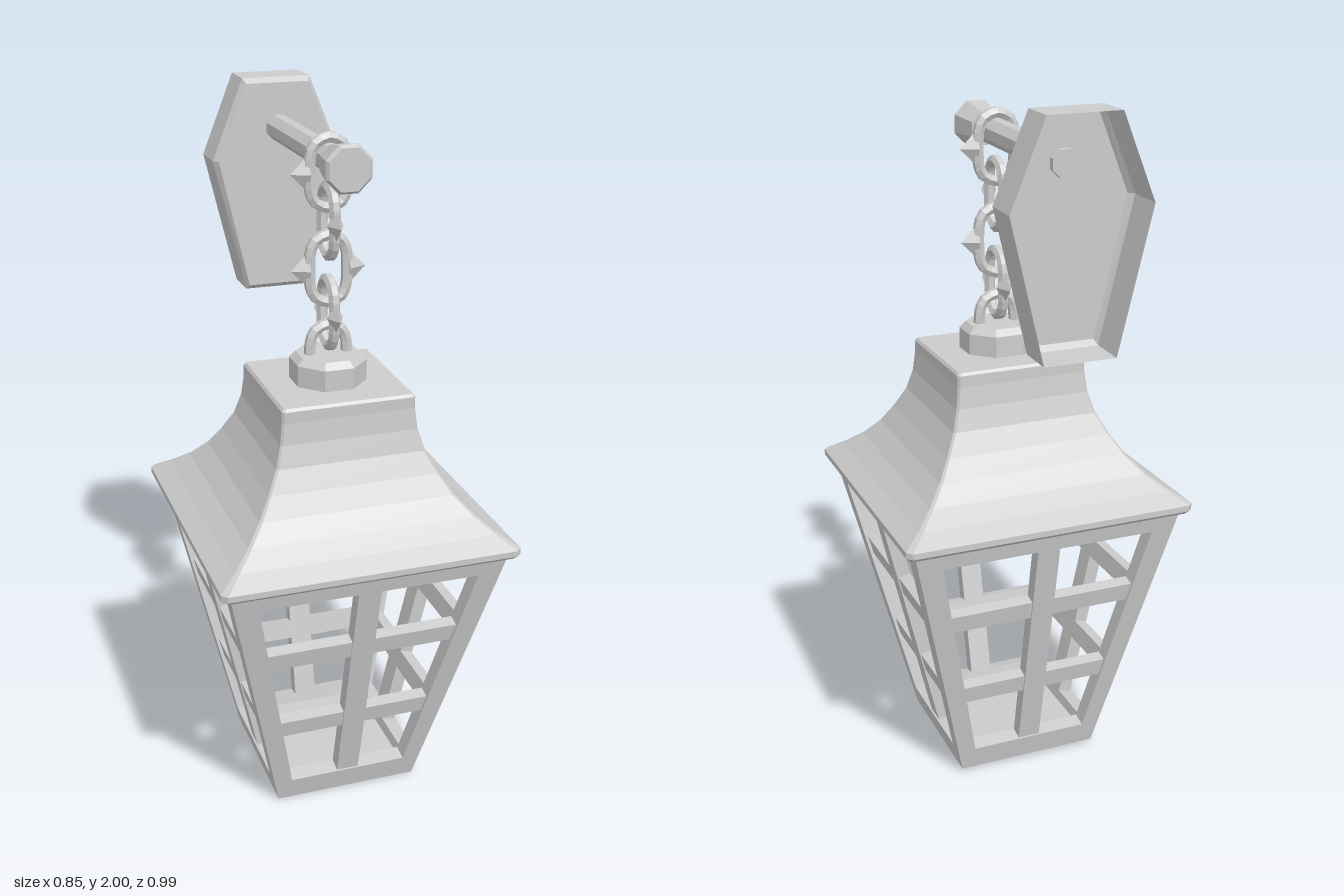
import * as THREE from 'three';

const grey = new THREE.MeshStandardMaterial({ color: 0xcccccc, flatShading: true });
const greyOpen = new THREE.MeshStandardMaterial({ color: 0xcccccc, flatShading: true, side: THREE.DoubleSide });

function add(parent, name, geometry, material = grey) {
  const mesh = new THREE.Mesh(geometry, material);
  mesh.name = name;
  parent.add(mesh);
  return mesh;
}

// Skin over equal-sized outlines (counter-clockwise [x, y]) stacked along z.
function loft(sections, capStart = true) {
  const n = sections[0].outline.length, pos = [], index = [];
  for (const { outline, z } of sections) for (const [x, y] of outline) pos.push(x, y, z);
  for (let s = 0; s < sections.length - 1; s++) {
    for (let i = 0; i < n; i++) {
      const a = s * n + i, b = s * n + (i + 1) % n;
      index.push(a, b, b + n, a, b + n, a + n);
    }
  }
  const last = (sections.length - 1) * n;
  for (let i = 1; i < n - 1; i++) {
    if (capStart) index.push(0, i + 1, i);
    index.push(last, last + i, last + i + 1);
  }
  const g = new THREE.BufferGeometry();
  g.setAttribute('position', new THREE.Float32BufferAttribute(pos, 3));
  g.setIndex(index);
  const flat = g.toNonIndexed();
  flat.computeVertexNormals();
  return flat;
}

// Square with slightly cut corners.
function square(h, c) {
  return [[h, c - h], [h, h - c], [h - c, h], [c - h, h], [-h, h - c], [-h, c - h], [c - h, -h], [h - c, -h]];
}

// Vertical stack of squares: rows of [y, half width, corner cut].
function squareStack(rows) {
  return loft(rows.map(([y, h, c]) => ({ z: y, outline: square(h, c) }))).rotateX(-Math.PI / 2);
}

// Wall plate: six-sided shell, open at the back, with a bevelled front.
function wallPlate(parent) {
  const outline = (b) => [[0.1 - b / 2, 1.38 + b], [0.193 - b, 1.77], [0.1 - b / 2, 2 - b],
    [-0.1 + b / 2, 2 - b], [-0.193 + b, 1.77], [-0.1 + b / 2, 1.38 + b]];
  add(parent, 'wallPlate', loft([
    { z: -0.488, outline: outline(0) },
    { z: -0.378, outline: outline(0) },
    { z: -0.362, outline: outline(0.014) },
  ], false), greyOpen);
}

// Arm with a flared end knob.
function arm(parent) {
  const rod = add(parent, 'arm', new THREE.CylinderGeometry(0.038, 0.038, 0.54, 8).rotateY(Math.PI / 8).rotateX(Math.PI / 2));
  rod.position.set(0, 1.86, -0.11);
  const profile = [[0, 0], [0.05, 0], [0.068, 0.095], [0.06, 0.105], [0, 0.105]].map(([r, y]) => new THREE.Vector2(r, y));
  const knob = add(parent, 'armKnob', new THREE.LatheGeometry(profile, 8).rotateY(Math.PI / 8).rotateX(Math.PI / 2));
  knob.position.set(0, 1.86, 0.152);
}

// Chain link lying in the xy plane, with an optional spike on each side.
function chainLink(spiked) {
  const link = new THREE.Group();
  link.name = 'chainLink';
  const points = [];
  for (const side of [1, -1]) {
    for (let i = 0; i <= 4; i++) {
      const a = i * Math.PI / 4;
      points.push(new THREE.Vector3(side * 0.052 * Math.cos(a), side * (0.042 + 0.052 * Math.sin(a)), 0));
    }
  }
  const curve = new THREE.CatmullRomCurve3(points, true, 'catmullrom', 0.4);
  add(link, 'linkRing', new THREE.TubeGeometry(curve, 24, 0.016, 6, true));
  for (const side of spiked ? [1, -1] : []) {
    const spike = add(link, 'linkSpike', new THREE.ConeGeometry(0.05, 0.05, 4).scale(1, 1, 0.45));
    spike.rotation.z = -side * Math.PI / 2;
    spike.position.x = side * 0.081;
  }
  return link;
}

// One latticed wall of the lantern, leaning outwards.
function sidePanel() {
  const panel = new THREE.Group();
  panel.name = 'sidePanel';
  const lean = Math.atan2(0.185, 0.82), k = 1 / Math.cos(lean), depth = 0.045;
  const low = 0.07 * k, high = 0.76 * k, top = 0.825 * k;
  const shape = new THREE.Shape([[-0.212, 0], [0.212, 0], [0.397, top], [-0.397, top]].map((p) => new THREE.Vector2(...p)));
  shape.holes.push(new THREE.Path([[-0.175, low], [-0.315, high], [0.315, high], [0.175, low]].map((p) => new THREE.Vector2(...p))));
  const frame = new THREE.ExtrudeGeometry(shape, { depth, bevelEnabled: false });
  add(panel, 'panelFrame', frame.translate(0, 0, -depth));
  const upright = add(panel, 'uprightBar', new THREE.BoxGeometry(0.066, high - low + 0.02, 0.04));
  upright.position.set(0, (low + high) / 2, -0.025);
  for (const y of [0.282, 0.552]) {
    const half = 0.175 + 0.14 * (y - 0.07) / 0.69;
    const bar = add(panel, 'crossBar', new THREE.BoxGeometry(2 * half + 0.02, 0.055, 0.036));
    bar.position.set(0, y * k, -0.027);
  }
  panel.position.z = 0.212;
  panel.rotation.x = lean;
  return panel;
}

export function createModel() {
  const model = new THREE.Group();
  model.name = 'hangingWallLantern';
  wallPlate(model);
  arm(model);

  // Chain, links alternately turned, the last one sunk into the cap.
  const chain = new THREE.Group();
  chain.name = 'chain';
  chain.position.z = 0.088;
  [1.82, 1.69, 1.56, 1.437, 1.31].forEach((y, i) => {
    const link = chainLink(i < 4);
    link.position.y = y;
    link.rotation.y = (i % 2) * Math.PI / 2;
    chain.add(link);
  });
  model.add(chain);

  // Lantern body, hanging slightly tilted.
  const lantern = new THREE.Group();
  lantern.name = 'lantern';
  lantern.position.set(0, 0.005, 0.052);
  lantern.rotation.x = 0.024;
  model.add(lantern);

  add(lantern, 'floor', squareStack([[0, 0.208, 0.004], [0.05, 0.2, 0.004]]));
  for (let i = 0; i < 4; i++) {
    const wall = new THREE.Group();
    wall.name = 'wall';
    wall.rotation.y = i * Math.PI / 2;
    wall.add(sidePanel());
    lantern.add(wall);
  }

  // Flared roof.
  add(lantern, 'roof', squareStack([
    [0.815, 0.415, 0.015], [0.825, 0.425, 0.016], [0.842, 0.425, 0.016], [0.875, 0.375, 0.01],
    [0.915, 0.325, 0.008], [0.965, 0.28, 0.007], [1.02, 0.245, 0.006], [1.08, 0.214, 0.006],
    [1.14, 0.197, 0.006], [1.2, 0.19, 0.006], [1.232, 0.19, 0.006], [1.24, 0.184, 0.006],
  ]));

  // Cap that holds the last link.
  const capProfile = [[0, 0], [0.108, 0], [0.108, 0.065], [0.09, 0.083], [0, 0.083]].map(([r, y]) => new THREE.Vector2(r, y));
  const cap = add(lantern, 'roofCap', new THREE.LatheGeometry(capProfile, 8).rotateY(Math.PI / 8));
  cap.position.set(0, 1.235, 0.003);
  return model;
}
